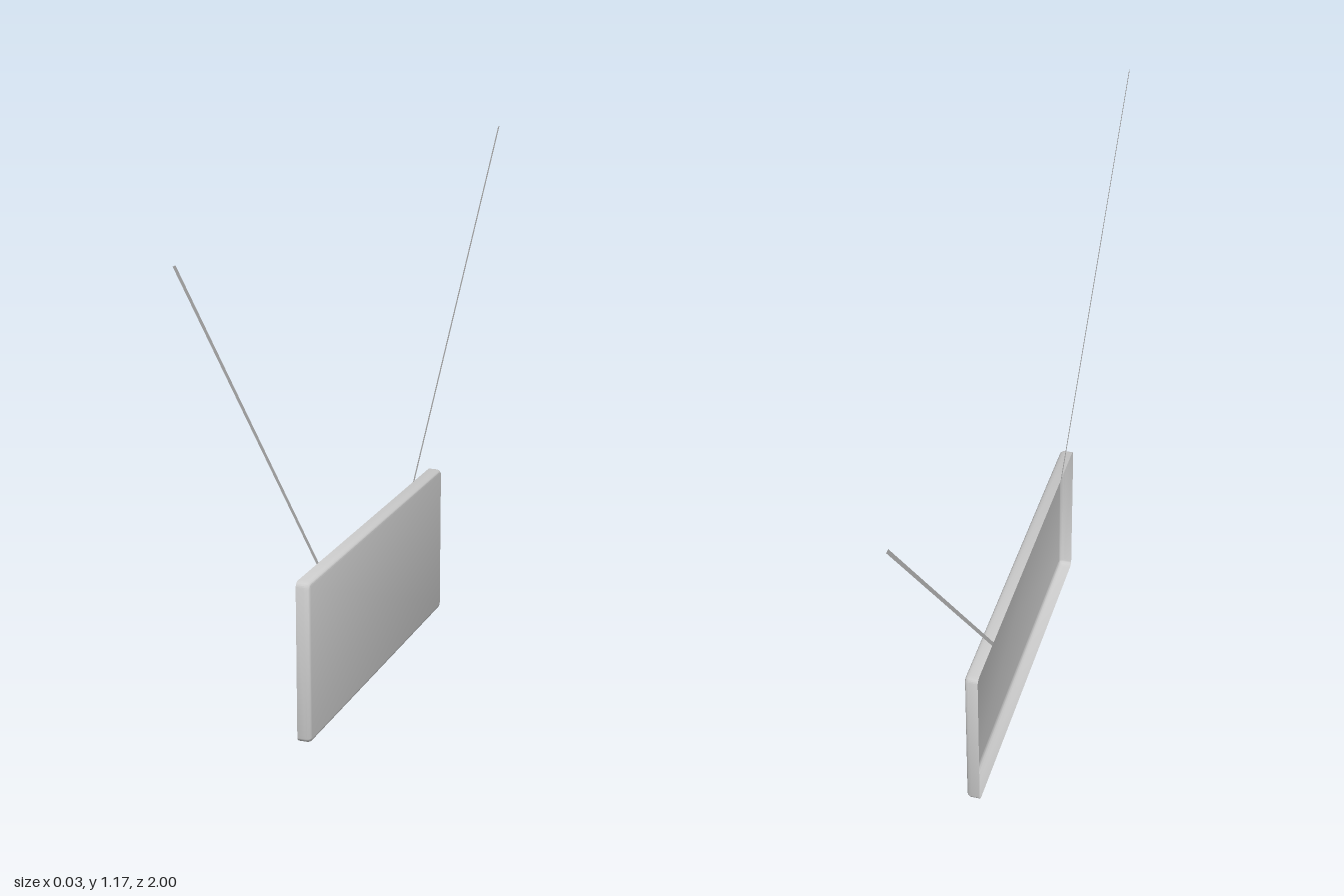
import * as THREE from 'three';
import { toCreasedNormals } from 'three/addons/utils/BufferGeometryUtils.js';

const HALF_Z = 0.447, HEIGHT = 0.374;
const BACK_X = -0.02, FACE_X = 0.012, FILLET = 0.012;

const material = new THREE.MeshStandardMaterial({ color: 0xcccccc, side: THREE.DoubleSide });

// Rounded rectangle in the z-y plane, pulled in by `inset`
function outline(x, inset) {
  const corner = 0.014 - inset, steps = 6, points = [];
  const cz = HALF_Z - inset - corner, cy = HEIGHT / 2 - inset - corner;
  const corners = [[1, 1], [-1, 1], [-1, -1], [1, -1]];
  corners.forEach(([sz, sy], q) => {
    for (let i = 0; i <= steps; i++) {
      const a = (q + i / steps) * Math.PI / 2;
      points.push([x, HEIGHT / 2 + sy * cy + corner * Math.sin(a), sz * cz + corner * Math.cos(a)]);
    }
  });
  return points;
}

// Thin shell, open at the back, with a filleted edge around its face
function trayGeometry() {
  const loops = [outline(BACK_X, 0)];
  const steps = 6;
  for (let i = 0; i <= steps; i++) {
    const a = (i / steps) * Math.PI / 2;
    loops.push(outline(FACE_X - FILLET * (1 - Math.sin(a)), FILLET * (1 - Math.cos(a))));
  }
  const n = loops[0].length;
  const positions = loops.flat(2), index = [];
  for (let r = 0; r < loops.length - 1; r++) {
    for (let i = 0; i < n; i++) {
      const a = r * n + i, b = r * n + (i + 1) % n;
      index.push(a, a + n, b, b, a + n, b + n);
    }
  }
  // Flat face closing the last loop
  const centre = positions.length / 3, last = (loops.length - 1) * n;
  positions.push(FACE_X, HEIGHT / 2, 0);
  for (let i = 0; i < n; i++) index.push(centre, last + (i + 1) % n, last + i);

  const geometry = new THREE.BufferGeometry();
  geometry.setAttribute('position', new THREE.Float32BufferAttribute(positions, 3));
  geometry.setIndex(index);
  return toCreasedNormals(geometry, Math.PI / 6);
}

// Flat slanted strip rising outward from the top rim
function strapGeometry(side) {
  const width = 0.012, top = 1.168;
  const shape = new THREE.Shape([
    [0.314, HEIGHT], [0.314 + width, HEIGHT], [1, top], [1 - width, top],
  ].map(([z, y]) => new THREE.Vector2(-side * z, y)));
  return new THREE.ShapeGeometry(shape).rotateY(Math.PI / 2).translate(BACK_X, 0, 0);
}

export function createModel() {
  const model = new THREE.Group();
  model.name = 'hangingPanel';

  const panel = new THREE.Mesh(trayGeometry(), material);
  panel.name = 'panel';
  model.add(panel);

  for (const [side, name] of [[1, 'frontStrap'], [-1, 'backStrap']]) {
    const strap = new THREE.Mesh(strapGeometry(side), material);
    strap.name = name;
    model.add(strap);
  }
  return model;
}
